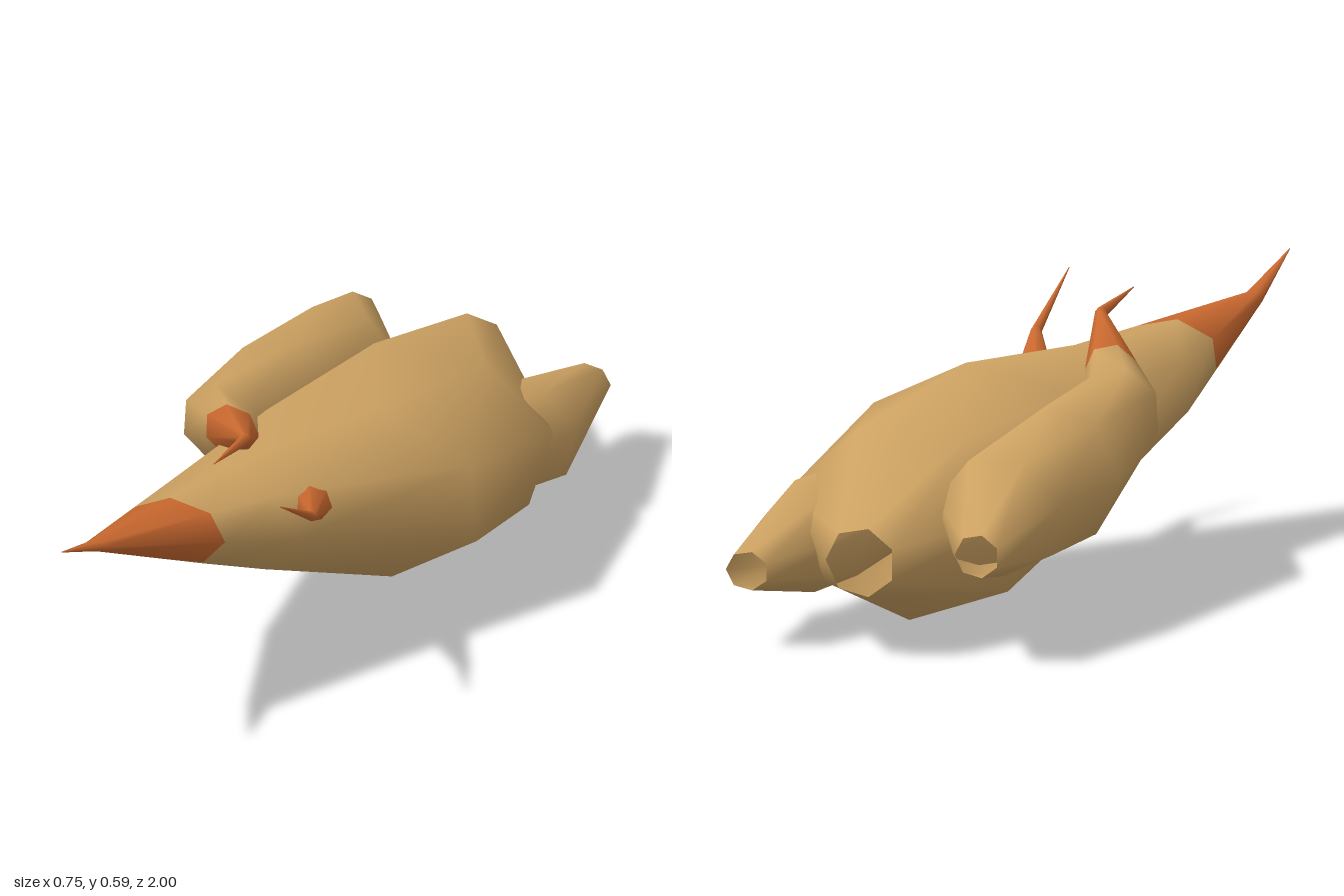
import * as THREE from 'three';

const SIDES = 7;

const tan = new THREE.MeshStandardMaterial({ color: 0xcda262, side: THREE.DoubleSide });
tan.name = 'tanShell';
const orange = new THREE.MeshStandardMaterial({ color: 0xc9682f, side: THREE.DoubleSide });
orange.name = 'orangeTip';

// One seven-sided ring: [z, centre x, centre y, radius x, radius y, turn in degrees]
function ring([z, cx, cy, rx, ry, turn]) {
  const points = [];
  for (let j = 0; j < SIDES; j++) {
    const a = THREE.MathUtils.degToRad(turn) + (j / SIDES) * Math.PI * 2;
    points.push(new THREE.Vector3(cx + rx * Math.cos(a), cy + ry * Math.sin(a), z));
  }
  return points;
}

// Open-backed curved horn, smooth, changing colour at z = tipStart
function horn(name, sections, tipStart) {
  const rings = sections.map(ring);
  const next = sections.findIndex((s) => s[0] > tipStart);
  const z0 = sections[next - 1][0];
  const t = (tipStart - z0) / (sections[next][0] - z0);
  const seam = rings[next - 1].map((p, j) => p.clone().lerp(rings[next][j], t));
  rings.splice(next, 0, seam);

  // Quads are cut along the shorter diagonal, so the twisted skin bulges outward
  const index = [];
  for (let i = 0; i < rings.length - 1; i++) {
    for (let j = 0; j < SIDES; j++) {
      const k = (j + 1) % SIDES;
      const a = i * SIDES + j, b = i * SIDES + k;
      const c = b + SIDES, d = a + SIDES;
      index.push(a, b, d, b, c, d);
    }
  }
  const geometry = new THREE.BufferGeometry().setFromPoints(rings.flat());
  geometry.setIndex(index);
  const split = next * SIDES * 6;
  geometry.addGroup(0, split, 0);
  geometry.addGroup(split, index.length - split, 1);
  geometry.computeVertexNormals();

  const mesh = new THREE.Mesh(geometry, [tan, orange]);
  mesh.name = name;
  return mesh;
}

export function createModel() {
  const group = new THREE.Group();
  group.name = 'hornCluster';

  // Large middle horn
  group.add(horn('mainHorn', [
    [-1, -0.005, 0.22, 0.085, 0.08, 0],
    [-0.55, 0.06, 0.222, 0.305, 0.222, 13],
    [-0.1, 0.055, 0.29, 0.315, 0.215, 29],
    [0.33, -0.09, 0.378, 0.175, 0.122, 45],
    [0.8, -0.222, 0.51, 0.025, 0.014, 58],
    [1, -0.228, 0.585, 0.001, 0.001, 58],
  ], 0.51));

  // Smaller horn on the -x side
  group.add(horn('rightHorn', [
    [-1, -0.287, 0.255, 0.054, 0.05, 0],
    [-0.69, -0.215, 0.285, 0.157, 0.138, 10],
    [-0.38, -0.23, 0.32, 0.15, 0.16, 26],
    [-0.06, -0.248, 0.41, 0.102, 0.1, 48],
    [0.27, -0.068, 0.56, 0.014, 0.014, 65],
    [0.46, -0.07, 0.585, 0.001, 0.001, 65],
  ], 0.07));

  // Smaller horn on the +x side, passing through the middle one
  group.add(horn('leftHorn', [
    [-1, 0.27, 0.18, 0.052, 0.045, 0],
    [-0.65, 0.245, 0.2, 0.13, 0.132, 15],
    [-0.3, 0.16, 0.25, 0.1, 0.1, 30],
    [0.2, 0.065, 0.4, 0.055, 0.05, 45],
    [0.42, 0.15, 0.475, 0.013, 0.013, 60],
    [0.61, 0.148, 0.585, 0.001, 0.001, 60],
  ], 0.15));

  return group;
}
